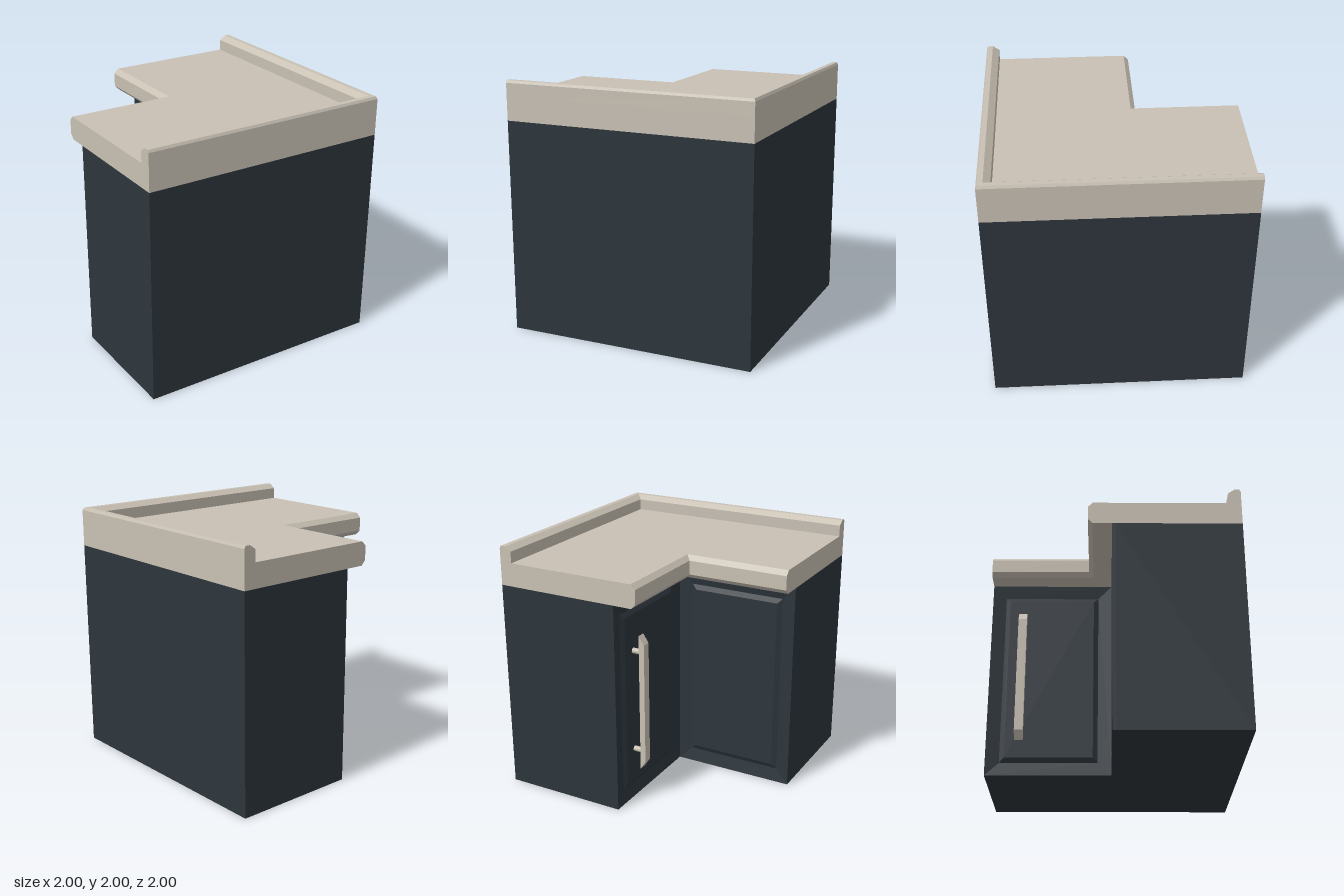
import * as THREE from 'three';

const HEIGHT = 1.69;   // cabinet height under the worktop
const SET = 0.025;     // door thickness

function solid(positions) {
  const g = new THREE.BufferGeometry();
  g.setAttribute('position', new THREE.Float32BufferAttribute(positions, 3));
  g.computeVertexNormals();
  return g;
}

function quad(out, a, b, c, d) {
  out.push(...a, ...b, ...c, ...a, ...c, ...d);
}

// Sweeps a closed profile of [offset, y] around the L, mitred at the corner
function cornerSweep(profile) {
  const out = [];
  const A = profile.map(([p, y]) => [-1, y, p]);
  const B = profile.map(([p, y]) => [p, y, p]);
  const C = profile.map(([p, y]) => [p, y, -1]);
  for (let i = 0; i < profile.length; i++) {
    const j = (i + 1) % profile.length;
    quad(out, A[i], B[i], B[j], A[j]);
    quad(out, B[i], C[i], C[j], B[j]);
  }
  const contour = profile.map(([p, y]) => new THREE.Vector2(p, y));
  for (const [a, b, c] of THREE.ShapeUtils.triangulateShape(contour, [])) {
    out.push(...A[a], ...A[b], ...A[c], ...C[a], ...C[c], ...C[b]);
  }
  return solid(out);
}

// Door with sloping frame and raised panel, from nested [inset, z] rectangles
function doorGeometry(w, h) {
  const out = [];
  const rings = [[0, -SET], [0, 0], [0.11, -0.02], [0.148, 0]].map(([i, z]) => [
    [i, i, z], [w - i, i, z], [w - i, h - i, z], [i, h - i, z],
  ]);
  for (let r = 0; r < rings.length - 1; r++) {
    for (let k = 0; k < 4; k++) {
      const n = (k + 1) % 4;
      quad(out, rings[r][k], rings[r][n], rings[r + 1][n], rings[r + 1][k]);
    }
  }
  quad(out, ...rings[rings.length - 1]);
  return solid(out);
}

export function createModel() {
  const model = new THREE.Group();
  model.name = 'cornerCabinet';
  const slate = new THREE.MeshStandardMaterial({ color: 0x2d353c });
  slate.name = 'slate';
  const stone = new THREE.MeshStandardMaterial({ color: 0xc9c1b4 });
  stone.name = 'stone';

  const add = (name, geometry, material, parent = model) => {
    const mesh = new THREE.Mesh(geometry, material);
    mesh.name = name;
    parent.add(mesh);
    return mesh;
  };

  // Carcass, with a post filling the inner corner behind the doors
  add('carcass', cornerSweep([[1, 0], [1, HEIGHT], [SET, HEIGHT], [SET, 0]]), slate);
  add('cornerPost', new THREE.BoxGeometry(SET, HEIGHT, SET), slate)
    .position.set(SET / 2, HEIGHT / 2, SET / 2);

  // Worktop with bevelled front edge, and the raised rim along the outer sides
  add('worktop', cornerSweep([
    [1, HEIGHT], [1, 1.875], [-0.15, 1.875], [-0.187, 1.838], [-0.187, 1.727], [-0.15, HEIGHT],
  ]), stone);
  add('backsplash', cornerSweep([
    [1, 1.875], [1, 1.98], [0.99, 2], [0.95, 2], [0.9, 1.965], [0.9, 1.875],
  ]), stone);

  // Doors on the two inner faces
  const doorShape = doorGeometry(1, HEIGHT);
  add('plainDoor', doorShape, slate).rotation.y = Math.PI;
  const handleDoor = add('handleDoor', doorShape, slate);
  handleDoor.rotation.y = -Math.PI / 2;
  handleDoor.position.z = -1;

  // Handle: bar with slanted ends on two round posts
  const handle = new THREE.Group();
  handle.name = 'handle';
  const side = new THREE.Shape([
    [-0.07, 0.27], [-0.07, 1.39], [-0.115, 1.32], [-0.115, 0.34],
  ].map(([x, y]) => new THREE.Vector2(x, y)));
  const bar = new THREE.ExtrudeGeometry(side, { depth: 0.07, bevelEnabled: false });
  add('handleBar', bar, stone, handle).position.z = -0.77;
  for (const y of [0.42, 1.25]) {
    const post = add('handlePost', new THREE.CylinderGeometry(0.022, 0.022, 0.08, 16), stone, handle);
    post.rotation.z = Math.PI / 2;
    post.position.set(-0.035, y, -0.735);
  }
  model.add(handle);
  return model;
}
